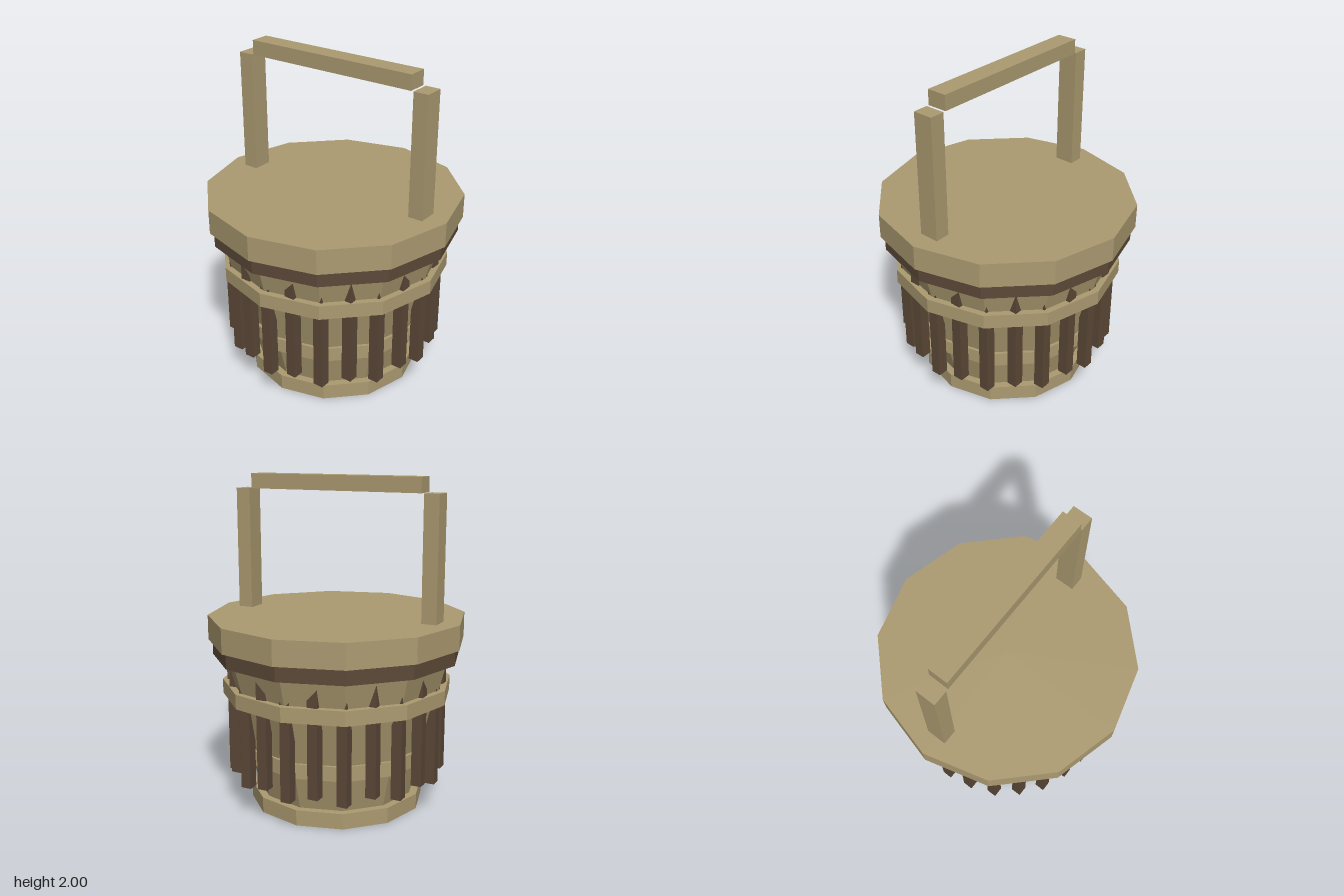
import * as THREE from 'three';

const SIDES = 12;

export function createModel() {
  const model = new THREE.Group();
  model.name = 'bucket';

  const paleWood = new THREE.MeshStandardMaterial({ color: 0xac9b71 });
  paleWood.name = 'paleWood';
  paleWood.flatShading = true;
  const darkWood = new THREE.MeshStandardMaterial({ color: 0x5c4938 });
  darkWood.name = 'darkWood';
  darkWood.flatShading = true;

  // Twelve-sided drum between two heights
  function drum(name, y0, y1, rBottom, rTop, material) {
    const mesh = new THREE.Mesh(
      new THREE.CylinderGeometry(rTop, rBottom, y1 - y0, SIDES), material);
    mesh.position.y = (y0 + y1) / 2;
    mesh.name = name;
    model.add(mesh);
  }

  // Box between two heights, centred at x, z
  function block(name, x, z, y0, y1, width, depth, material, parent = model) {
    const mesh = new THREE.Mesh(new THREE.BoxGeometry(width, y1 - y0, depth), material);
    mesh.position.set(x, (y0 + y1) / 2, z);
    mesh.name = name;
    parent.add(mesh);
  }

  // Tapered tub with its hoops, collar and lid
  drum('base', 0, 0.095, 0.537, 0.537, paleWood);
  drum('tub', 0.09, 0.98, 0.49, 0.719, paleWood);
  drum('lowerHoop', 0.312, 0.4, 0.588, 0.588, paleWood);
  drum('upperHoop', 0.682, 0.77, 0.703, 0.703, paleWood);
  drum('collar', 0.928, 1.02, 0.758, 0.758, darkWood);
  drum('lid', 1.02, 1.17, 0.783, 0.783, paleWood);

  // Ring of square staves, alternating long and short, all facing the front
  const staves = new THREE.Group();
  staves.name = 'staves';
  model.add(staves);
  for (let i = 0; i < 24; i++) {
    const a = (i / 24) * Math.PI * 2;
    block('stave', 0.63 * Math.sin(a), 0.63 * Math.cos(a),
      i % 2 ? 0.23 : 0.19, 0.92, 0.063, 0.063, darkWood, staves);
  }

  // Handle: two posts and a loose crossbar
  for (const side of [-1, 1]) {
    block(side > 0 ? 'leftPost' : 'rightPost', side * 0.615, 0, 1.15, 1.91, 0.092, 0.122, paleWood);
  }
  block('crossbar', 0, 0, 1.91, 2, 1.108, 0.122, paleWood);

  return model;
}
